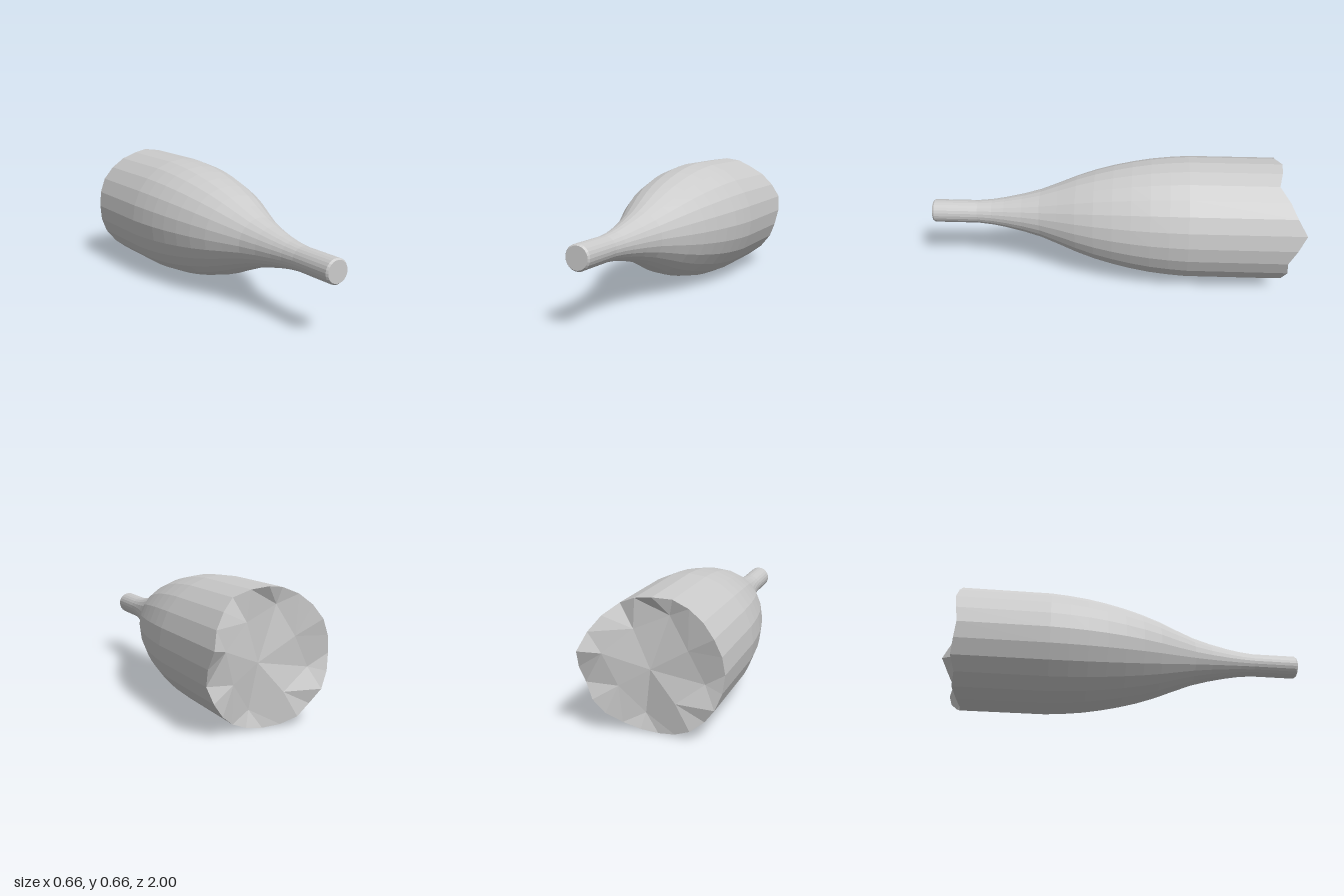
import * as THREE from 'three';

const SIDES = 24, AXIS_Y = 0.331;

// body outline from the neck tip to the straight barrel: [z, radius]
const PROFILE = [
  [1, 0], [1, 0.056], [0.99, 0.063], [0.75, 0.063], [0.67, 0.071], [0.6, 0.083], [0.5, 0.105],
  [0.4, 0.133], [0.3, 0.172], [0.2, 0.213], [0.1, 0.247], [0, 0.274],
  [-0.1, 0.296], [-0.2, 0.313], [-0.3, 0.324], [-0.4, 0.331],
];

// z of the jagged broken edge, every 15 degrees from +x towards +y
const EDGE = [
  -0.96, -1, -0.95, -0.91, -0.86, -0.88, -0.89, -0.86, -0.87, -0.88, -0.89, -0.88,
  -0.87, -0.88, -0.89, -0.87, -0.88, -0.86, -0.845, -0.85, -0.87, -0.91, -0.93, -0.92,
];

// facets inside the broken end: [radius, z]
const FRACTURE = [
  [0.24, -0.93], [0.2, -0.87], [0.25, -0.84], [0.18, -0.86],
  [0.24, -0.85], [0.19, -0.87], [0.25, -0.83], [0.2, -0.89],
];

function point(step, radius, z) {
  const a = (step / SIDES) * Math.PI * 2;
  return [radius * Math.cos(a), AXIS_Y + radius * Math.sin(a), z];
}

function makeMesh(name, points, faces) {
  const geometry = new THREE.BufferGeometry();
  geometry.setAttribute('position', new THREE.Float32BufferAttribute(points.flat(), 3));
  geometry.setIndex(faces);
  geometry.computeVertexNormals();
  const mesh = new THREE.Mesh(geometry,
    new THREE.MeshStandardMaterial({ color: 0xcccccc, flatShading: true }));
  mesh.name = name;
  return mesh;
}

// neck, shoulder and barrel as stacked rings
function makeBody() {
  const points = [], faces = [];
  for (let i = 0; i <= PROFILE.length; i++) {
    for (let j = 0; j < SIDES; j++) {
      const [z, r] = i < PROFILE.length ? PROFILE[i] : [EDGE[j], 0.331];
      points.push(point(j, r, z));
    }
  }
  for (let i = 0; i < PROFILE.length; i++) {
    for (let j = 0; j < SIDES; j++) {
      const a = i * SIDES + j, b = i * SIDES + (j + 1) % SIDES;
      faces.push(a, a + SIDES, b, b, a + SIDES, b + SIDES);
    }
  }
  return makeMesh('body', points, faces);
}

// rough faceted surface closing the broken end
function makeBrokenEnd() {
  const points = EDGE.map((z, j) => point(j, 0.331, z));
  FRACTURE.forEach(([r, z], k) => points.push(point(3 * k + 1, r, z)));
  const centre = points.length, faces = [];
  points.push([0.03, AXIS_Y - 0.02, -0.85]);
  for (let k = 0; k < FRACTURE.length; k++) {
    const o = 3 * k, next = (o + 3) % SIDES;
    const p = SIDES + k, q = SIDES + (k + 1) % FRACTURE.length;
    faces.push(o, p, o + 1, o + 1, p, o + 2, o + 2, p, q, o + 2, q, next, p, centre, q);
  }
  return makeMesh('brokenEnd', points, faces);
}

export function createModel() {
  const model = new THREE.Group();
  model.name = 'brokenBottle';
  model.add(makeBody(), makeBrokenEnd());
  return model;
}
